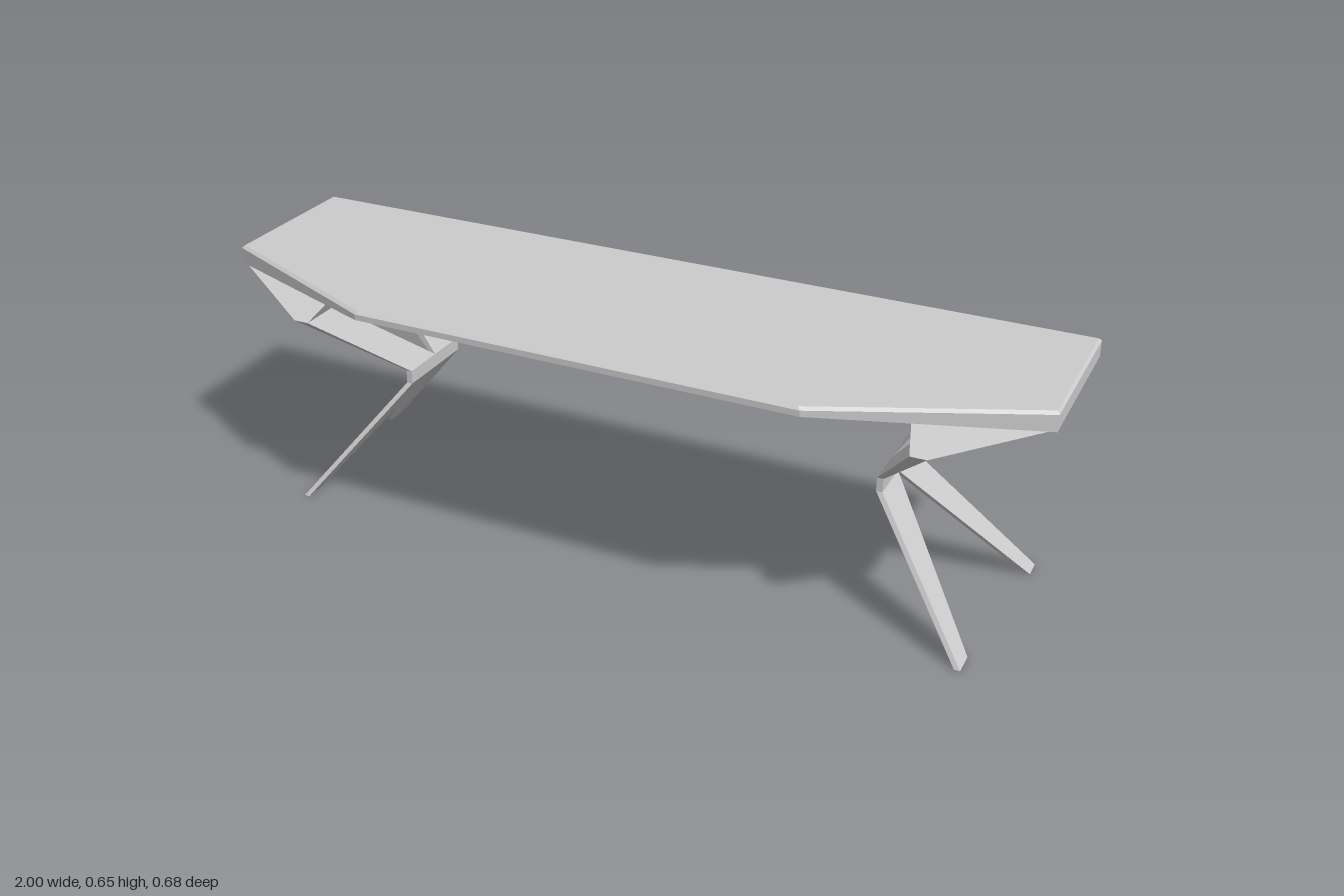
import * as THREE from 'three';

const material = new THREE.MeshStandardMaterial({ color: 0xcccccc, flatShading: true });

// Skin a stack of rings (bottom to top, each clockwise seen from above) and cap both ends.
function loft(name, rings) {
  const pos = [];
  const tri = (a, b, c) => pos.push(...a, ...b, ...c);
  const n = rings[0].length;
  for (let r = 0; r < rings.length - 1; r++) {
    const lo = rings[r], hi = rings[r + 1];
    for (let i = 0; i < n; i++) {
      const j = (i + 1) % n;
      tri(lo[i], hi[i], hi[j]);
      tri(lo[i], hi[j], lo[j]);
    }
  }
  const first = rings[0], last = rings[rings.length - 1];
  for (let i = 1; i < n - 1; i++) {
    tri(first[0], first[i], first[i + 1]);
    tri(last[0], last[i + 1], last[i]);
  }
  const geometry = new THREE.BufferGeometry();
  geometry.setAttribute('position', new THREE.Float32BufferAttribute(pos, 3));
  geometry.computeVertexNormals();
  const mesh = new THREE.Mesh(geometry, material);
  mesh.name = name;
  return mesh;
}

// Four-sided bar; each section is [y, inner x, outer x, front z, back z].
function bar(name, side, sections) {
  return loft(name, sections.map(([y, xi, xo, zf, zb]) => {
    const ring = [[xo, y, zf], [xi, y, zf], [xi, y, zb], [xo, y, zb]]
      .map(([x, h, z]) => [side * x, h, z]);
    return side > 0 ? ring : ring.reverse();
  }));
}

// Top with clipped front corners, a small top bevel and an underside rising to the front.
function tabletop() {
  const outline = [[1, 0.13], [0.53, 0.338], [-0.53, 0.338], [-1, 0.13], [-1, -0.255], [1, -0.255]];
  const ring = (y, inset, yFront = y) => outline.map(([x, z]) => [
    x - Math.sign(x) * inset,
    z > 0.2 ? yFront : y,
    z - Math.sign(z) * inset,
  ]);
  return loft('tabletop', [ring(0.61, 0, 0.635), ring(0.649, 0), ring(0.655, 0.006)]);
}

// One trestle: two bracketed arms meeting at a knee, then two splayed feet.
function trestle(side) {
  const group = new THREE.Group();
  group.name = side > 0 ? 'leftTrestle' : 'rightTrestle';
  group.add(
    bar('frontArm', side, [[0.35, 0.605, 0.62, 0.02, -0.09], [0.548, 0.735, 0.772, 0.245, 0.137]]),
    bar('frontBracket', side, [[0.548, 0.735, 0.772, 0.245, 0.137], [0.611, 0.7, 0.99, 0.13, 0.08]]),
    bar('backArm', side, [[0.35, 0.605, 0.62, -0.09, -0.2], [0.546, 0.735, 0.772, -0.09, -0.2]]),
    bar('backBracket', side, [[0.546, 0.735, 0.772, -0.09, -0.2], [0.611, 0.7, 0.99, -0.035, -0.085]]),
    bar('mountingPlate', side, [[0.608, 0.7, 0.99, 0.08, -0.035], [0.611, 0.7, 0.99, 0.08, -0.035]]),
    bar('knee', side, [[0.316, 0.605, 0.62, 0.02, -0.2], [0.35, 0.605, 0.62, 0.02, -0.2]]),
    bar('frontLeg', side, [[0, 0.852, 0.866, 0.158, 0.1], [0.316, 0.605, 0.62, 0.02, -0.09]]),
    bar('backLeg', side, [[0, 0.892, 0.906, -0.29, -0.338], [0.316, 0.605, 0.62, -0.09, -0.2]]),
  );
  return group;
}

export function createModel() {
  const model = new THREE.Group();
  model.name = 'table';
  model.add(tabletop(), trestle(1), trestle(-1));
  return model;
}
